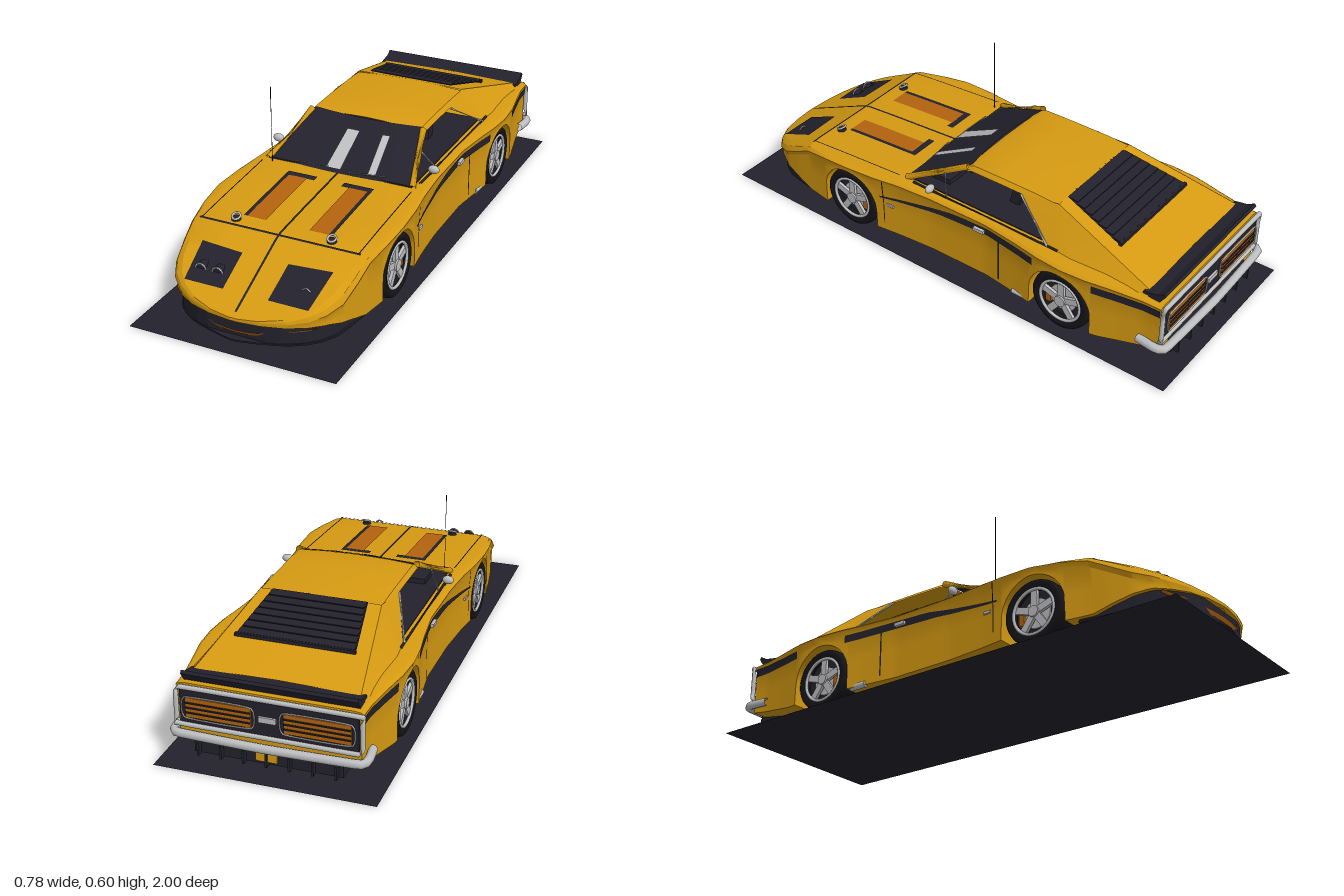
import * as THREE from 'three';
import { toCreasedNormals } from 'three/addons/utils/BufferGeometryUtils.js';

const mat = (name, color) => new THREE.MeshStandardMaterial({ name, color, side: THREE.DoubleSide });

// Piecewise linear curve through [z, value] points, z descending
const curve = (pts) => (z) => {
  if (z >= pts[0][0]) return pts[0][1];
  for (let i = 1; i < pts.length; i++) {
    const [z0, a] = pts[i - 1], [z1, b] = pts[i];
    if (z >= z1) return a + (b - a) * (z0 - z) / (z0 - z1);
  }
  return pts[pts.length - 1][1];
};

// Body rules along z: half width, top height, shoulder height, sill height
const width = curve([[0.97, 0.02], [0.96, 0.1], [0.935, 0.185], [0.9, 0.245], [0.86, 0.288], [0.8, 0.32], [0.72, 0.335],
  [0.64, 0.345], [0.54, 0.36], [0.43, 0.368], [0.3, 0.36], [0.2, 0.347], [0.05, 0.335], [-0.2, 0.332],
  [-0.35, 0.35], [-0.45, 0.366], [-0.55, 0.373], [-0.65, 0.366], [-0.76, 0.345], [-0.86, 0.328], [-0.93, 0.325]]);
const top = curve([[0.97, 0.122], [0.65, 0.268], [0.5, 0.28], [0.2, 0.3], [-0.7, 0.302], [-0.93, 0.29]]);
const shoulder = curve([[0.97, 0.117], [0.9, 0.132], [0.8, 0.165], [0.65, 0.245], [0.55, 0.265], [0.43, 0.279],
  [0.2, 0.287], [-0.7, 0.288], [-0.93, 0.28]]);
const sillLine = curve([[0.97, 0.11], [0.85, 0.105], [0.74, 0.075], [0.66, 0.05], [-0.7, 0.05], [-0.93, 0.09]]);
const WHEELS = [0.43, -0.54], WY = 0.123, ARCH = 0.13;
const sill = (z) => {
  const c = WHEELS.find((w) => Math.abs(z - w) <= ARCH);
  return c === undefined ? sillLine(z) : WY + Math.sqrt(Math.max(0, ARCH ** 2 - (z - c) ** 2));
};
const sideX = (z, y) => {
  const s = shoulder(z);
  return width(z) - 0.008 + 0.008 * Math.min(1, Math.max(0, (y - s + 0.02) / 0.02));
};

// Surface through rows of points
function loft(rows, crease = 0.5) {
  const n = rows[0].length, idx = [];
  for (let i = 0; i < rows.length - 1; i++) for (let j = 0; j < n - 1; j++) {
    const a = i * n + j, b = a + 1, c = a + n, d = c + 1;
    idx.push(a, c, b, b, c, d);
  }
  const g = new THREE.BufferGeometry();
  g.setAttribute('position', new THREE.Float32BufferAttribute(rows.flat(2), 3));
  g.setIndex(idx);
  g.computeVertexNormals();
  return toCreasedNormals(g, crease);
}
const mirrorRow = (half) => [...half, ...half.slice(0, -1).reverse().map(([x, y, z]) => [-x, y, z])];
const steps = (a, b, n) => Array.from({ length: n + 1 }, (_, i) => a + (b - a) * i / n);

export function createModel() {
  const car = new THREE.Group();
  const M = {
    body: mat('amber paint', 0xd79b12), dark: mat('charcoal', 0x23222d), tyre: mat('tyre black', 0x15151a),
    chrome: mat('light grey', 0xbfc0c2), rust: mat('burnt orange', 0xb5640e),
  };
  const add = (name, geo, m, parent = car) => {
    const mesh = new THREE.Mesh(geo, m);
    mesh.name = name;
    parent.add(mesh);
    return mesh;
  };
  const box = (name, m, w, h, d, x, y, z, parent) => {
    const b = add(name, new THREE.BoxGeometry(w, h, d), m, parent);
    b.position.set(x, y, z);
    return b;
  };
  const tube = (name, m, r, pts, closed = false) => add(name, new THREE.TubeGeometry(
    new THREE.CatmullRomCurve3(pts.map((p) => new THREE.Vector3(...p)), closed, 'catmullrom', 0.2),
    pts.length > 2 ? 48 : 1, r, 8, closed), m);
  // Thin strips laid on the bonnet and on the flanks
  const onTop = (name, m, x0, x1, z0, z1, n = 8) => add(name,
    loft(steps(z0, z1, n).map((z) => [x0, x1].map((x) => [x, top(z) + 0.003, z]))), m);
  const onSide = (name, m, s, z0, z1, low, high, n = 20) => add(name, loft(steps(z0, z1, n).map((z) =>
    [low(z), (low(z) + high(z)) / 2, high(z)].map((y) => [s * (sideX(z, y) + 0.003), y, z]))), m);
  // Flat outline in (z, y) pulled across the car
  const across = (name, m, pts, half) => {
    const g = new THREE.ExtrudeGeometry(new THREE.Shape(pts.map((p) => new THREE.Vector2(...p))),
      { depth: half * 2, bevelEnabled: false });
    return add(name, g.rotateY(-Math.PI / 2).translate(half, 0, 0), m);
  };
  // Plan outline following the nose, thickened in y
  const nosePlan = (name, m, inset, z0, z1, y, h) => {
    const pts = steps(z0, z1, 24).map((z) => [Math.max(0, width(Math.min(z, 0.968)) - inset), z]);
    const s = new THREE.Shape([...pts, ...pts.slice().reverse().map(([x, z]) => [-x, z])].map(([x, z]) => new THREE.Vector2(x, -z)));
    add(name, new THREE.ExtrudeGeometry(s, { depth: h, bevelEnabled: false }).rotateX(-Math.PI / 2).translate(0, y, 0), m);
  };

  // Base plate
  add('basePlate', new THREE.PlaneGeometry(0.78, 2).rotateX(-Math.PI / 2), M.dark);

  // Lower body with wheel arches
  const zs = [0.97, 0.96, 0.935, 0.9, 0.65, ...steps(0.94, -0.93, 94)];
  for (const w of WHEELS) for (const k of [1, 0.98, 0.94]) zs.push(w + ARCH * k, w - ARCH * k);
  for (const w of WHEELS) zs.push(w + ARCH + 0.0005, w - ARCH - 0.0005);
  zs.sort((a, b) => b - a);
  const rows = zs.map((z) => {
    const W = width(z), lo = sill(z), s = shoulder(z), t = top(z), y3 = Math.max(lo, s - 0.02);
    return mirrorRow([[Math.max(0, W - 0.12), lo, z], [sideX(z, lo), lo, z], [sideX(z, lo), (lo + y3) / 2, z],
      [sideX(z, y3), y3, z], [W, s, z], [W * 0.97, s + (t - s) * 0.65, z], [W * 0.9, t, z], [W * 0.5, t, z], [0, t, z]]);
  });
  const cap = (row, z) => row.map(() => [0, row[0][1] + 0.005, z]);
  add('bodyShell', loft([cap(rows[0], 0.972), ...rows, cap(rows[rows.length - 1], -0.93)], 0.4), M.body);
  box('chassis', M.dark, 0.44, 0.2, 1.5, 0, 0.145, -0.15);

  // Nose: air intake, lip and splitter
  nosePlan('airIntake', M.dark, 0.025, 0.6, 0.95, 0.045, 0.066);
  nosePlan('splitter', M.dark, 0.02, 0.6, 0.975, 0.037, 0.006);
  add('intakeLip', loft(steps(-0.26, 0.26, 24).map((x) => {
    const k = (x / 0.26) ** 2, z = 0.957 - 0.085 * k;
    return [[x, 0.06 + 0.035 * k, z], [x, 0.075 + 0.028 * k, z + 0.008]];
  })), M.rust);

  // Bonnet seams, vents and pins
  onTop('bonnetCentreSeam', M.dark, -0.004, 0.004, 0.2, 0.95, 24);
  onTop('noseSeam', M.dark, -0.31, 0.31, 0.647, 0.655, 1);
  for (const s of [-1, 1]) {
    onTop('ventPanel', M.rust, s * 0.085, s * 0.158, 0.28, 0.585);
    onTop('ventEnd', M.dark, s * 0.055, s * 0.172, 0.255, 0.282, 2);
    onTop('ventEdge', M.dark, s * 0.158, s * 0.172, 0.28, 0.585);
    onTop('bonnetSideSeam', M.dark, s * 0.3, s * 0.304, 0.22, 0.65);
    const ring = add('bonnetPin', new THREE.TorusGeometry(0.015, 0.004, 8, 20).rotateX(-1.1), M.chrome);
    ring.position.set(s * 0.185, top(0.615) + 0.013, 0.615);
    const stud = add('bonnetPinStud', new THREE.CylinderGeometry(0.014, 0.018, 0.012, 16), M.dark);
    stud.position.set(s * 0.185, top(0.615) + 0.004, 0.615);
    // Headlamp recess
    const pt = (x, z) => [s * x, top(z) + 0.003, z];
    add('headlampPanel', loft([[pt(0.25, 0.735), pt(0.088, 0.745)], [pt(0.234, 0.885), pt(0.085, 0.885)]]), M.dark);
  }
  for (const x of [-0.2, -0.135]) {
    const z = 0.785;
    const lamp = add('headlamp', new THREE.CylinderGeometry(0.019, 0.021, 0.03, 20).rotateX(Math.PI / 2), M.dark);
    lamp.position.set(x, top(z) - 0.022, z + 0.035);
    const rim = add('headlampRim', new THREE.TorusGeometry(0.02, 0.003, 8, 24), M.chrome);
    rim.position.set(x, top(z) - 0.022, z + 0.05);
  }
  tube('headlampHandle', M.chrome, 0.003, [[0.18, 0.197, 0.825], [0.198, 0.205, 0.825], [0.212, 0.195, 0.825]]);

  // Roof and fastback
  const roofHalf = (z, dy) => mirrorRow([[0.236, 0.41 + dy, z], [0.222, 0.427 + dy, z], [0.12, 0.434 + dy, z], [0, 0.437 + dy, z]]);
  add('roof', loft([[-0.045, -0.012], [-0.07, -0.002], [-0.2, 0], [-0.35, 0], [-0.44, -0.004]].map((r) => roofHalf(...r))), M.body);
  const backY = (z) => 0.433 + (0.314 - 0.433) * (z + 0.44) / (-0.86 + 0.44);
  const backHalf = (z) => 0.222 + 0.068 * (z + 0.44) / -0.42;
  add('fastback', loft([-0.44, -0.86].map((z) => mirrorRow([[backHalf(z), backY(z) - 0.006, z], [0, backY(z), z]]))), M.body);
  // Rear window with louvres
  add('rearWindow', loft([[-0.445, 0.175], [-0.695, 0.215]].map(([z, x]) => [[-x, backY(z) + 0.002, z], [x, backY(z) + 0.002, z]])), M.dark);
  steps(-0.47, -0.67, 6).forEach((z, i) => {
    box('louvre', M.dark, 0.35 + i * 0.011, 0.004, 0.034, 0, backY(z) + 0.006, z).rotation.x = -0.1;
  });
  box('louvreEndBar', M.dark, 0.43, 0.012, 0.012, 0, backY(-0.69) + 0.005, -0.69);

  // Windscreen, reflections and wiper
  const glass = (u, v, lift = 0) => [u * (0.28 - 0.062 * v), 0.302 + 0.122 * v + lift,
    0.182 - 0.24 * v + 0.02 * (1 - u * u) + lift * 0.6];
  add('windscreen', loft(steps(0, 1, 4).map((v) => steps(-1, 1, 8).map((u) => glass(u, v)))), M.dark);
  const glint = (a, b, c, d) => add('glassGlint', loft([[glass(a, 0.06, 0.004), glass(b, 0.06, 0.004)],
    [glass(c, 0.76, 0.004), glass(d, 0.76, 0.004)]]), M.chrome);
  glint(-0.19, 0.02, -0.2, 0.02);
  glint(0.41, 0.52, 0.41, 0.54);
  for (const u of [-0.65, 0.15]) tube('wiper', M.chrome, 0.002, [glass(u, 0.03, 0.006), glass(u + 0.5, 0.07, 0.006)]);

  for (const s of [-1, 1]) {
    // Pillars, sail panels and window trim
    tube('windscreenPillar', M.body, 0.013, [[s * 0.292, 0.3, 0.19], [s * 0.229, 0.418, -0.05]]);
    add('sailPanel', loft([[[0.236, 0.412, -0.29], [0.306, 0.3, -0.46]], [[0.222, 0.428, -0.44], [0.315, 0.3, -0.56]],
      [[0.29, 0.309, -0.86], [0.312, 0.29, -0.87]]].map((r) => r.map(([x, y, z]) => [s * x, y, z]))), M.body);
    tube('windowTrim', M.chrome, 0.004, [[s * 0.239, 0.41, -0.29], [s * 0.309, 0.303, -0.455]]);
    tube('quarterlightBar', M.chrome, 0.003, [[s * 0.26, 0.37, 0.035], [s * 0.3, 0.303, 0.0]]);
    tube('windowSill', M.dark, 0.005, [[s * 0.305, 0.303, 0.15], [s * 0.308, 0.303, -0.5]]);
    // Mirror
    const mirror = add('doorMirror', new THREE.SphereGeometry(1, 20, 12), M.chrome);
    mirror.scale.set(0.022, 0.016, 0.014);
    mirror.position.set(s * 0.32, 0.322, 0.06);
    tube('mirrorStem', M.dark, 0.005, [[s * 0.305, 0.295, 0.06], [s * 0.317, 0.313, 0.06]]);
    // Flank stripe, door seams, handle and marker
    onSide('flankStripe', M.dark, s, 0.28, -0.425,
      curve([[0.28, 0.2], [0, 0.232], [-0.2, 0.242], [-0.43, 0.236]]),
      curve([[0.28, 0.207], [0.1, 0.237], [-0.05, 0.264], [-0.2, 0.271], [-0.43, 0.266]]));
    onSide('rearStripe', M.dark, s, -0.672, -0.925, () => 0.238, () => 0.27);
    onSide('doorSeam', M.dark, s, -0.26, -0.266, () => 0.07, () => 0.27, 1);
    onSide('wingSeam', M.dark, s, 0.265, 0.261, () => 0.09, () => 0.28, 1);
    box('doorHandle', M.chrome, 0.012, 0.013, 0.045, s * 0.334, 0.253, -0.175);
    box('sideMarker', M.chrome, 0.008, 0.01, 0.03, s * 0.345, 0.175, 0.235);
    const pipe = add('sideExhaust', new THREE.CylinderGeometry(0.012, 0.012, 0.07, 14).rotateX(Math.PI / 2), M.chrome);
    pipe.position.set(s * 0.335, 0.055, -0.365);
    // Seat
    const seat = box('seatBack', M.dark, 0.13, 0.1, 0.04, s * 0.12, 0.335, -0.23);
    seat.rotation.x = -0.25;
    const rest = add('headrest', new THREE.SphereGeometry(1, 16, 12), M.dark);
    rest.scale.set(0.04, 0.03, 0.022);
    rest.position.set(s * 0.12, 0.387, -0.245);
    // Tail lamps
    box('tailLamp', M.rust, 0.23, 0.072, 0.008, s * 0.172, 0.208, -0.942);
    for (const y of [0.19, 0.208, 0.226]) box('tailLampSlat', M.dark, 0.23, 0.005, 0.006, s * 0.172, y, -0.947);
    tube('tailLampTrim', M.chrome, 0.003, [[0.055, 0.17], [0.289, 0.17], [0.289, 0.246], [0.055, 0.246]].map(([x, y]) => [s * x, y, -0.946]), true);
  }

  // Cabin
  box('cabinFloor', M.dark, 0.58, 0.006, 0.66, 0, 0.302, -0.14);
  box('dashboard', M.dark, 0.48, 0.025, 0.1, 0, 0.312, 0.08);
  const wheelRim = add('steeringWheel', new THREE.TorusGeometry(0.032, 0.004, 8, 24), M.dark);
  wheelRim.position.set(0.12, 0.338, 0.0);
  wheelRim.rotation.x = -0.4;
  tube('aerial', M.tyre, 0.0018, [[-0.265, 0.28, 0.21], [-0.265, 0.598, 0.21]]);

  // Tail: spoiler, panel, frame, bumper and diffuser
  across('spoiler', M.dark, [[-0.845, 0.293], [-0.845, 0.306], [-0.9, 0.316], [-0.925, 0.332], [-0.932, 0.322], [-0.91, 0.29]], 0.305);
  box('tailPanel', M.dark, 0.62, 0.14, 0.012, 0, 0.208, -0.932);
  tube('tailFrame', M.chrome, 0.009, [[-0.31, 0.14], [0.31, 0.14], [0.322, 0.152], [0.322, 0.265], [0.31, 0.277],
    [-0.31, 0.277], [-0.322, 0.265], [-0.322, 0.152]].map(([x, y]) => [x, y, -0.938]), true);
  box('tailCentrePiece', M.chrome, 0.06, 0.02, 0.008, 0, 0.208, -0.942);
  tube('rearBumper', M.chrome, 0.016, mirrorRow([[0.328, 0.115, -0.85], [0.336, 0.115, -0.92], [0.315, 0.115, -0.955], [0, 0.115, -0.965]]));
  box('diffuser', M.dark, 0.52, 0.055, 0.11, 0, 0.075, -0.89);
  for (const x of steps(-0.24, 0.24, 6)) box('diffuserFin', M.dark, 0.008, 0.05, 0.03, x, 0.07, -0.95);
  box('rearPlate', M.body, 0.075, 0.035, 0.006, 0, 0.08, -0.955);

  // Wheels
  const tyreGeo = new THREE.LatheGeometry([[0.086, -0.05], [0.106, -0.056], [0.116, -0.05], [0.12, -0.036], [0.12, 0.036],
    [0.116, 0.05], [0.106, 0.056], [0.086, 0.05], [0.082, 0.02]].map((p) => new THREE.Vector2(...p)), 40).rotateZ(-Math.PI / 2);
  for (const z of WHEELS) for (const s of [-1, 1]) {
    const w = new THREE.Group();
    w.name = z > 0 ? 'frontWheel' : 'rearWheel';
    add('tyre', tyreGeo, M.tyre, w);
    add('wheelBack', new THREE.CylinderGeometry(0.086, 0.086, 0.05, 32).rotateZ(Math.PI / 2), M.dark, w);
    add('brakeDisc', new THREE.CylinderGeometry(0.055, 0.055, 0.06, 28).rotateZ(Math.PI / 2), M.chrome, w);
    const lip = add('rimLip', new THREE.TorusGeometry(0.083, 0.006, 8, 40).rotateY(Math.PI / 2), M.chrome, w);
    lip.position.x = s * 0.049;
    const hub = add('hub', new THREE.CylinderGeometry(0.02, 0.022, 0.02, 20).rotateZ(Math.PI / 2), M.chrome, w);
    hub.position.x = s * 0.045;
    for (let i = 0; i < 5; i++) {
      const a = i * Math.PI * 0.4, spoke = box('spoke', M.chrome, 0.012, 0.068, 0.026, s * 0.042, Math.cos(a) * 0.05, Math.sin(a) * 0.05, w);
      spoke.rotation.x = a;
    }
    box('brakeCaliper', M.rust, 0.012, 0.048, 0.022, s * 0.034, -0.012, z > 0 ? -0.057 : 0.057, w);
    w.position.set(s * 0.295, WY, z);
    car.add(w);
  }
  return car;
}
